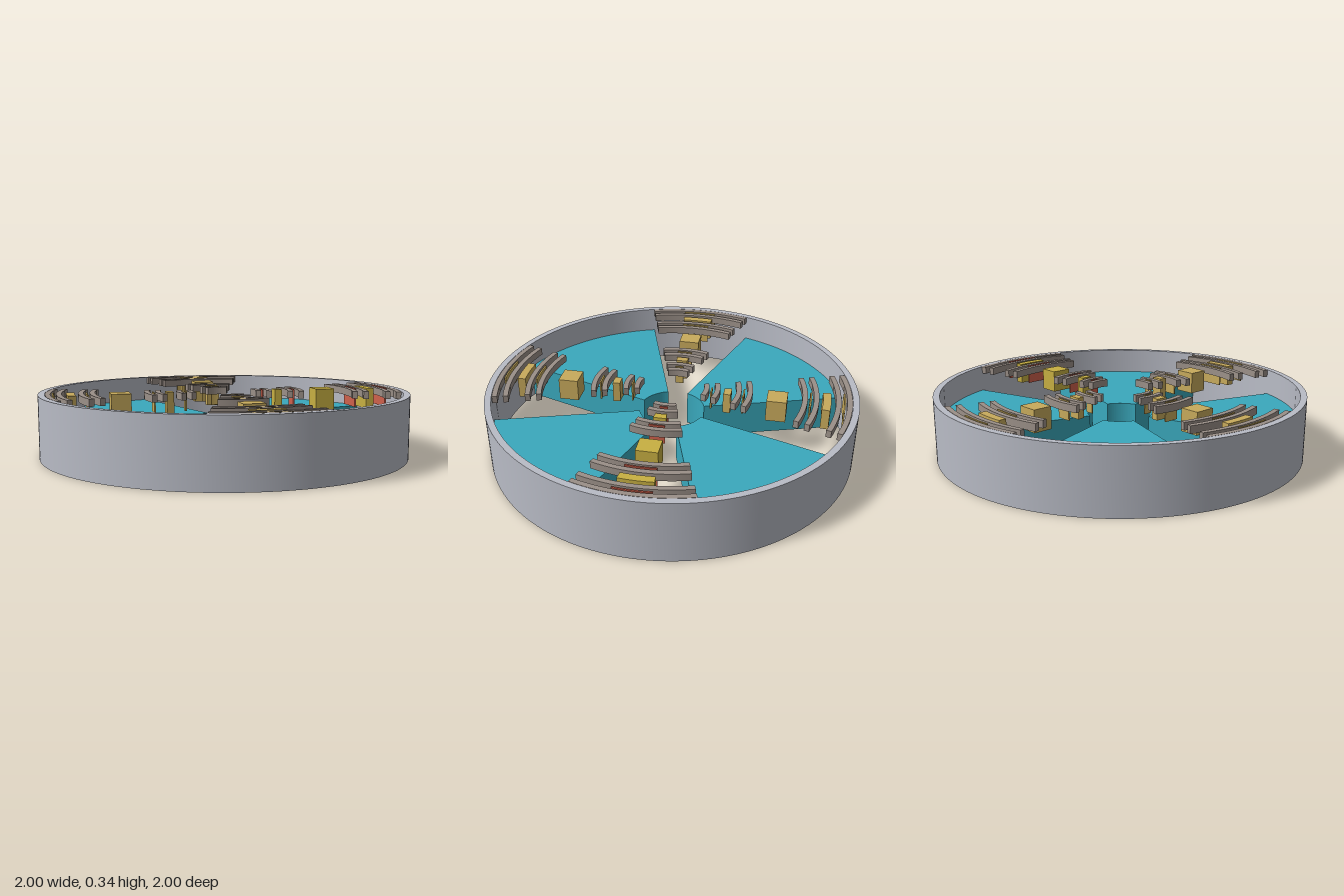
import * as THREE from 'three';
import { toCreasedNormals } from 'three/addons/utils/BufferGeometryUtils.js';

const DEG = Math.PI / 180;
const TOP = 0.34;

const mat = (name, color) => {
  const m = new THREE.MeshStandardMaterial({ color });
  m.name = name;
  return m;
};

// Extrude a plan shape upward from y0 to y1, with smooth curved walls.
function slab(shape, y0, y1, curveSegments) {
  const g = new THREE.ExtrudeGeometry(shape, { depth: y1 - y0, bevelEnabled: false, curveSegments });
  g.rotateX(-Math.PI / 2).translate(0, y0, 0);
  return toCreasedNormals(g, 30 * DEG);
}

// Ring segment between two radii and two angles (degrees).
function sector(r0, r1, a0, a1, y0, y1, segments = 16) {
  const s = new THREE.Shape();
  s.absarc(0, 0, r1, a0 * DEG, a1 * DEG, false);
  s.absarc(0, 0, r0, a1 * DEG, a0 * DEG, true);
  s.closePath();
  return slab(s, y0, y1, segments);
}

export function createModel() {
  const steel = mat('steel grey', 0xb9bcc6);
  const teal = mat('teal', 0x3aa9bd);
  const coilGrey = mat('warm grey', 0x9b9088);
  const tan = mat('tan brass', 0xc8ab5c);
  const yellow = mat('yellow brass', 0xc8b042);
  const red = mat('red', 0xcf614c);

  const model = new THREE.Group();
  model.name = 'sectorRing';
  const add = (parent, name, geometry, material) => {
    const m = new THREE.Mesh(geometry, material);
    m.name = name;
    parent.add(m);
    return m;
  };

  // Outer casing, open at top and bottom
  const ring = new THREE.Shape();
  ring.absarc(0, 0, 1, 0, Math.PI * 2, false);
  const hole = new THREE.Path();
  hole.absarc(0, 0, 0.965, 0, Math.PI * 2, true);
  ring.holes.push(hole);
  add(model, 'outerCasing', slab(ring, 0, TOP, 96), steel);

  // Shared geometry, each for the quadrant starting at angle 0
  const wedge = sector(0.178, 0.965, 36, 90, 0, 0.195, 32);
  const coils = [0.175, 0.235, 0.35, 0.41, 0.702, 0.762, 0.877, 0.935]
    .map((r) => sector(r, r + 0.028, 0, 36, 0.3, TOP));
  const shims = [0.2175, 0.392, 0.747, 0.923]
    .map((r) => sector(r - 0.004, r + 0.004, 12, 24, 0.235, TOP, 6));
  const plates = [[0.285, 0.325], [0.81, 0.853]]
    .map(([r0, r1]) => sector(r0, r1, 12, 24, 0.225, TOP, 6));
  const block = new THREE.BoxGeometry(0.107, 0.12, 0.114);
  block.translate(0.57, TOP - 0.06, 0).rotateY(18 * DEG);

  // Four quadrants: a wedge and an open bay with coils and blocks
  for (let i = 0; i < 4; i++) {
    const quadrant = new THREE.Group();
    quadrant.name = `quadrant${i + 1}`;
    quadrant.rotation.y = i * Math.PI / 2;
    const brass = i === 0 ? yellow : tan;
    add(quadrant, 'wedge', wedge, teal);
    coils.forEach((g, k) => add(quadrant, `coilBar${k + 1}`, g, coilGrey));
    shims.forEach((g, k) => add(quadrant, `thinPlate${k + 1}`, g, i === 0 ? red : tan));
    plates.forEach((g, k) => add(quadrant, `curvedBlock${k + 1}`, g, brass));
    add(quadrant, 'centreBlock', block, brass);
    model.add(quadrant);
  }
  return model;
}
